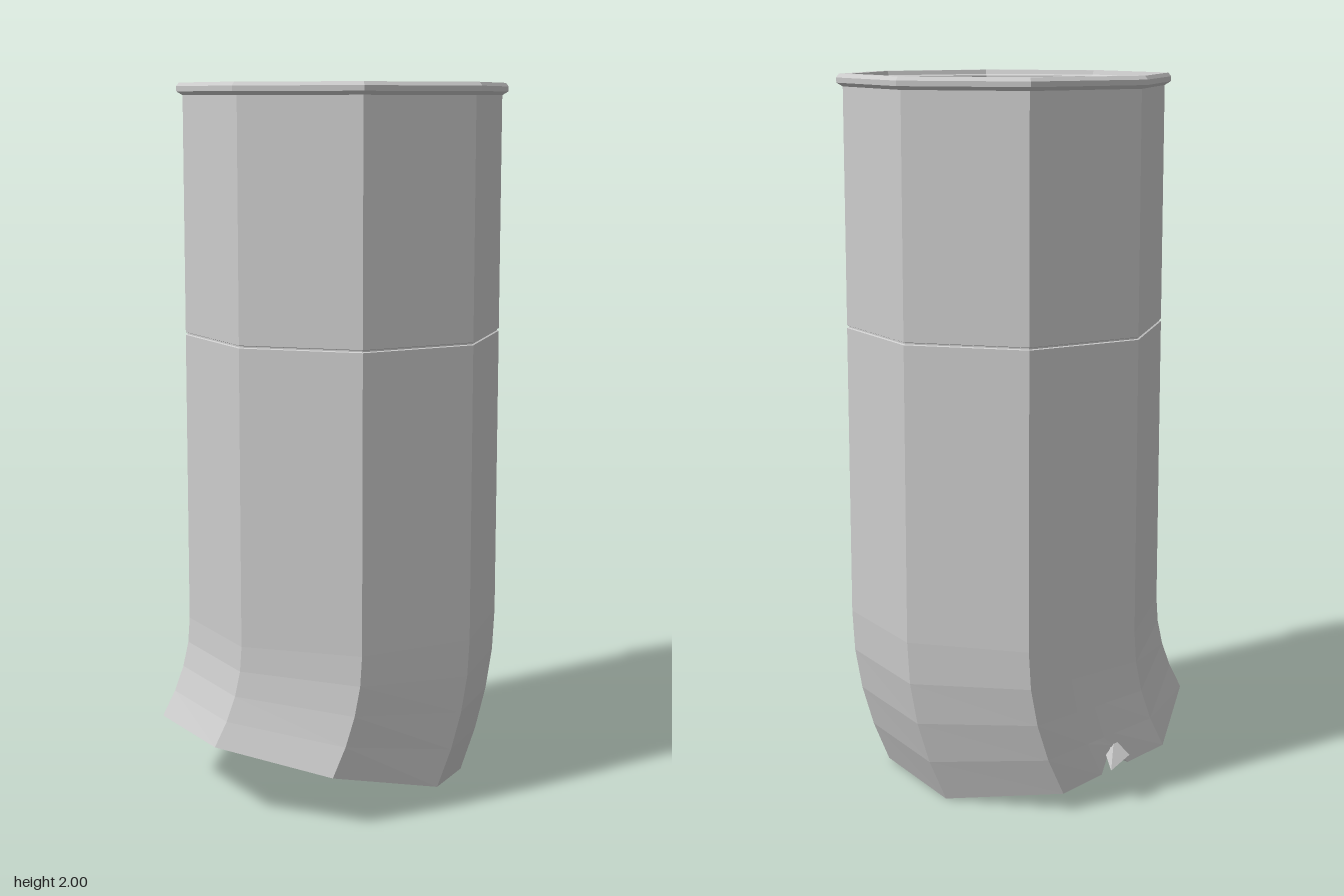
import * as THREE from 'three';

const CENTER_X = 0.024, CENTER_Z = 0.012;
const BEND_TOP = 0.48;

// Wall section as [radius, height]: up the outside, over the lip, down the inside.
const bendSteps = [0, 0.12, 0.24, 0.36, BEND_TOP];
const profile = [
  ...bendSteps.map((y) => [0.447, y]),
  [0.447, 1.302], [0.442, 1.304], [0.442, 1.308], [0.447, 1.31], // seam groove
  [0.447, 1.966], [0.464, 1.976], [0.465, 1.99], [0.457, 2], // lip
  [0.426, 2], [0.422, 1.988], [0.414, 1.984],
  ...bendSteps.slice().reverse().map((y) => [0.42, y]),
];

// Eight corners, with extra columns on one rear side for the torn edge.
function makeColumns() {
  const columns = [];
  for (let i = 0; i < 8; i++) {
    const a = (i * Math.PI) / 4, b = a + Math.PI / 4;
    const stops = i === 6 ? [[0, 0], [0.36, 0], [0.46, 0.05], [0.53, 0.075], [0.62, 0]] : [[0, 0]];
    for (const [u, lift] of stops) {
      columns.push({
        x: Math.cos(a) * (1 - u) + Math.cos(b) * u,
        z: Math.sin(a) * (1 - u) + Math.sin(b) * u,
        lift,
      });
    }
  }
  return columns;
}

// Places a wall point; below BEND_TOP the tube leans aside and its cut edge tilts.
function wallPoint(column, [radius, height]) {
  const x = column.x * radius, z = column.z * radius;
  const p = new THREE.Vector3(CENTER_X + x, height, CENTER_Z + z);
  if (height < BEND_TOP) {
    const t = 1 - height / BEND_TOP;
    const edgeY = 0.101 - 0.224 * x - 0.073 * z;
    p.x += (-0.0875 - 0.05 * x) * t * t;
    p.z += -0.043 * t * t;
    p.y = THREE.MathUtils.lerp(BEND_TOP, edgeY, t);
    if (height === 0) p.y += column.lift;
  }
  return p;
}

function geometryFrom(points) {
  const geometry = new THREE.BufferGeometry().setFromPoints(points);
  geometry.computeVertexNormals();
  return geometry;
}

function makeTube() {
  const columns = makeColumns();
  const points = [];
  columns.forEach((column, i) => {
    const next = columns[(i + 1) % columns.length];
    profile.forEach((lower, j) => {
      const upper = profile[(j + 1) % profile.length];
      const a0 = wallPoint(column, lower), a1 = wallPoint(column, upper);
      const b0 = wallPoint(next, lower), b1 = wallPoint(next, upper);
      points.push(a0, a1, b1, a0, b1, b0);
    });
  });
  return geometryFrom(points);
}

// Small bent scrap of metal left at the tear
function makeShard() {
  const v = [
    new THREE.Vector3(0.125, 0.105, -0.43),
    new THREE.Vector3(0.06, 0.135, -0.447),
    new THREE.Vector3(0.08, 0.18, -0.408),
    new THREE.Vector3(0.105, 0.155, -0.39),
  ];
  const faces = [[0, 1, 2], [0, 2, 3], [0, 3, 1], [1, 3, 2]];
  return geometryFrom(faces.flat().map((i) => v[i].clone()));
}

export function createModel() {
  const metal = new THREE.MeshStandardMaterial({
    name: 'light grey metal', color: 0xcccccc, flatShading: true, side: THREE.DoubleSide,
  });
  const group = new THREE.Group();
  group.name = 'bentPipe';
  const add = (name, geometry) => {
    const mesh = new THREE.Mesh(geometry, metal);
    mesh.name = name;
    group.add(mesh);
  };
  add('pipeWall', makeTube());
  add('tornShard', makeShard());
  return group;
}
